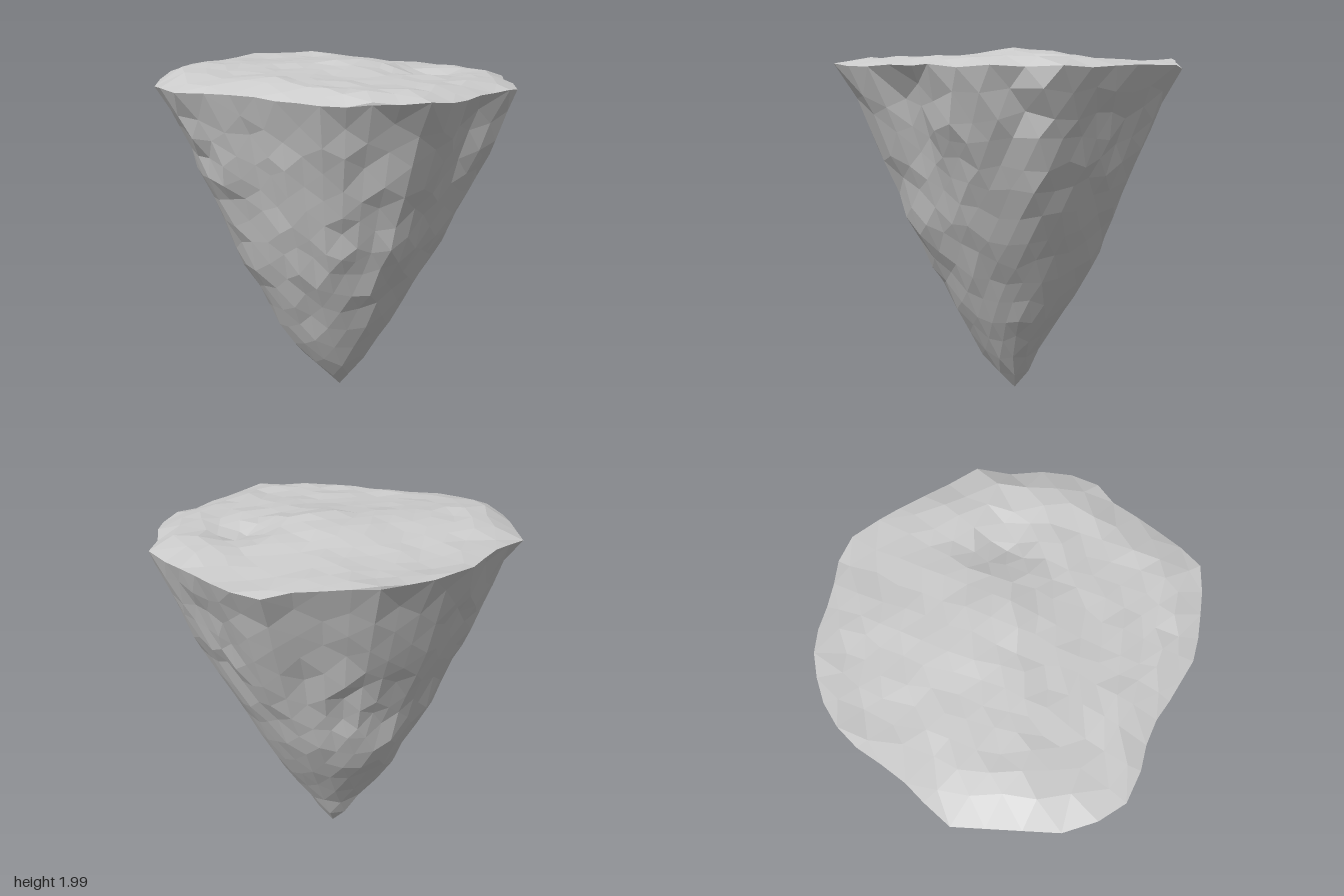
import * as THREE from 'three';
import { mergeVertices } from 'three/addons/utils/BufferGeometryUtils.js';

const { lerp, smoothstep } = THREE.MathUtils;

// Rim outline seen from above, as [x, z], by rising angle
const RIM = [[1, -0.07], [1, 0.02], [0.94, 0.07], [0.94, 0.2], [0.88, 0.49], [0.69, 0.6], [0.52, 0.78], [0.32, 0.96],
  [0.22, 0.98], [0, 0.92], [-0.2, 0.87], [-0.44, 0.68], [-0.56, 0.57], [-0.82, 0.47], [-0.95, 0.36], [-1, 0.08],
  [-0.95, -0.2], [-0.91, -0.43], [-0.66, -0.62], [-0.46, -0.85], [-0.3, -0.94], [-0.05, -0.99],
  [0.17, -0.95], [0.32, -0.88], [0.5, -0.86], [0.63, -0.8], [0.75, -0.6], [0.87, -0.35]];

// Reach of the rock at each height: [y, left -x, right +x, front +z, back -z]
const LEVELS = [[0, 0, 0.02, 0, 0], [0.05, 0.04, 0.07, 0.06, 0.08], [0.13, 0.09, 0.12, 0.11, 0.13],
  [0.25, 0.21, 0.19, 0.18, 0.2], [0.4, 0.33, 0.29, 0.26, 0.3], [0.55, 0.4, 0.38, 0.34, 0.41],
  [0.7, 0.47, 0.46, 0.42, 0.5], [0.86, 0.58, 0.55, 0.51, 0.57], [1.03, 0.63, 0.64, 0.6, 0.61],
  [1.22, 0.71, 0.73, 0.67, 0.69], [1.42, 0.8, 0.82, 0.76, 0.78], [1.6, 0.86, 0.89, 0.85, 0.86],
  [1.76, 0.92, 0.95, 0.92, 0.93], [1.89, 1, 1, 1, 1]];

const RIM_ANGLE = 1.2; // polar angle of the sphere that becomes the rim

function makeRandom(seed) {
  return () => {
    seed = (seed * 16807) % 2147483647;
    return seed / 2147483647 - 0.5;
  };
}

const bump = (x, z, cx, cz, size) => Math.exp(-((x - cx) ** 2 + (z - cz) ** 2) / (size * size));

// Distance to the rim outline along a direction: the ray crosses one outline edge
function rimRadius(dx, dz) {
  for (let i = 0; i < RIM.length; i++) {
    const [ax, az] = RIM[i];
    const [bx, bz] = RIM[(i + 1) % RIM.length];
    if (ax * dz - az * dx >= 0 && dx * bz - dz * bx >= 0 && ax * dx + az * dz > 0) {
      return (ax * bz - az * bx) / (dx * (bz - az) - dz * (bx - ax));
    }
  }
  return 1;
}

const rimHeight = (x, z) => 1.88 - 0.012 * x + 0.05 * smoothstep(-z, 0.2, 0.9)
  + 0.02 * bump(x, z, 0.2, 0.95, 0.2) - 0.05 * bump(x, z, 0.6, -0.82, 0.22);

// Height of the uneven plateau
function plateauHeight(x, z) {
  const ridge = 0.05 * Math.exp(-((z + 0.1) ** 2) / 0.12) * smoothstep(0.55 - x, 0, 0.5);
  return 1.925 + ridge + 0.02 * bump(x, z, 0.12, -0.05, 0.25) - 0.05 * bump(x, z, 0.52, 0, 0.15)
    + 0.025 * bump(x, z, -0.4, 0.45, 0.3) - 0.04 * bump(x, z, 0.6, -0.75, 0.3);
}

// Reach in all four directions at a given height
function reachAt(y) {
  const k = Math.max(1, LEVELS.findIndex((level) => level[0] >= y));
  const f = (y - LEVELS[k - 1][0]) / (LEVELS[k][0] - LEVELS[k - 1][0]);
  return LEVELS[k].map((value, i) => lerp(LEVELS[k - 1][i], value, f));
}

function createRockGeometry() {
  const random = makeRandom(4177);
  let geometry = new THREE.IcosahedronGeometry(1, 7);
  geometry.deleteAttribute('normal');
  geometry.deleteAttribute('uv');
  geometry = mergeVertices(geometry, 1e-3);
  const position = geometry.attributes.position;
  const v = new THREE.Vector3();

  for (let i = 0; i < position.count; i++) {
    v.fromBufferAttribute(position, i);
    const theta = Math.atan2(v.z, v.x);
    const dx = Math.cos(theta);
    const dz = Math.sin(theta);
    const r = rimRadius(dx, dz);
    const edge = rimHeight(dx * r, dz * r);
    const phi = Math.acos(THREE.MathUtils.clamp(v.y, -1, 1));

    if (Math.abs(phi - RIM_ANGLE) < 0.073) {
      // Vertices near the rim are pulled onto it to keep the lip sharp
      v.set(dx * r, edge + random() * 0.025, dz * r);
    } else if (phi < RIM_ANGLE) {
      // Plateau, sinking towards the rim
      const s = phi / RIM_ANGLE;
      const x = dx * r * s + random() * 0.03;
      const z = dz * r * s + random() * 0.03;
      const y = lerp(edge, plateauHeight(x, z), smoothstep(1 - s, 0, 0.18));
      v.set(x, y + random() * 0.016, z);
    } else {
      // Flank, blunt and round at the tip, taking on the rim outline higher up
      const arc = (Math.PI - phi) / (Math.PI - RIM_ANGLE);
      const t = arc * (1 - 0.6 * Math.exp(-8 * arc));
      const [, left, right, front, back] = reachAt(t * 1.89);
      const notch = 1 - 0.06 * bump(dx, dz, 0.67, 0.74, 0.12) * smoothstep(t, 0.66, 0.82);
      const s = lerp(0.98, r, t) * notch * (1 + random() * 0.03);
      v.set(dx * s * (dx < 0 ? left : right), t * edge + random() * 0.06 * Math.min(1, t * 2),
        dz * s * (dz < 0 ? back : front) - 0.04 * smoothstep(1 - t, 0.88, 1));
    }
    position.setXYZ(i, v.x, v.y, v.z);
  }
  geometry.computeVertexNormals();
  return geometry;
}

export function createModel() {
  const group = new THREE.Group();
  group.name = 'floatingRock';
  const material = new THREE.MeshStandardMaterial({ color: 0xcccccc, flatShading: true });
  const rock = new THREE.Mesh(createRockGeometry(), material);
  rock.name = 'rockBody';
  group.add(rock);
  return group;
}
